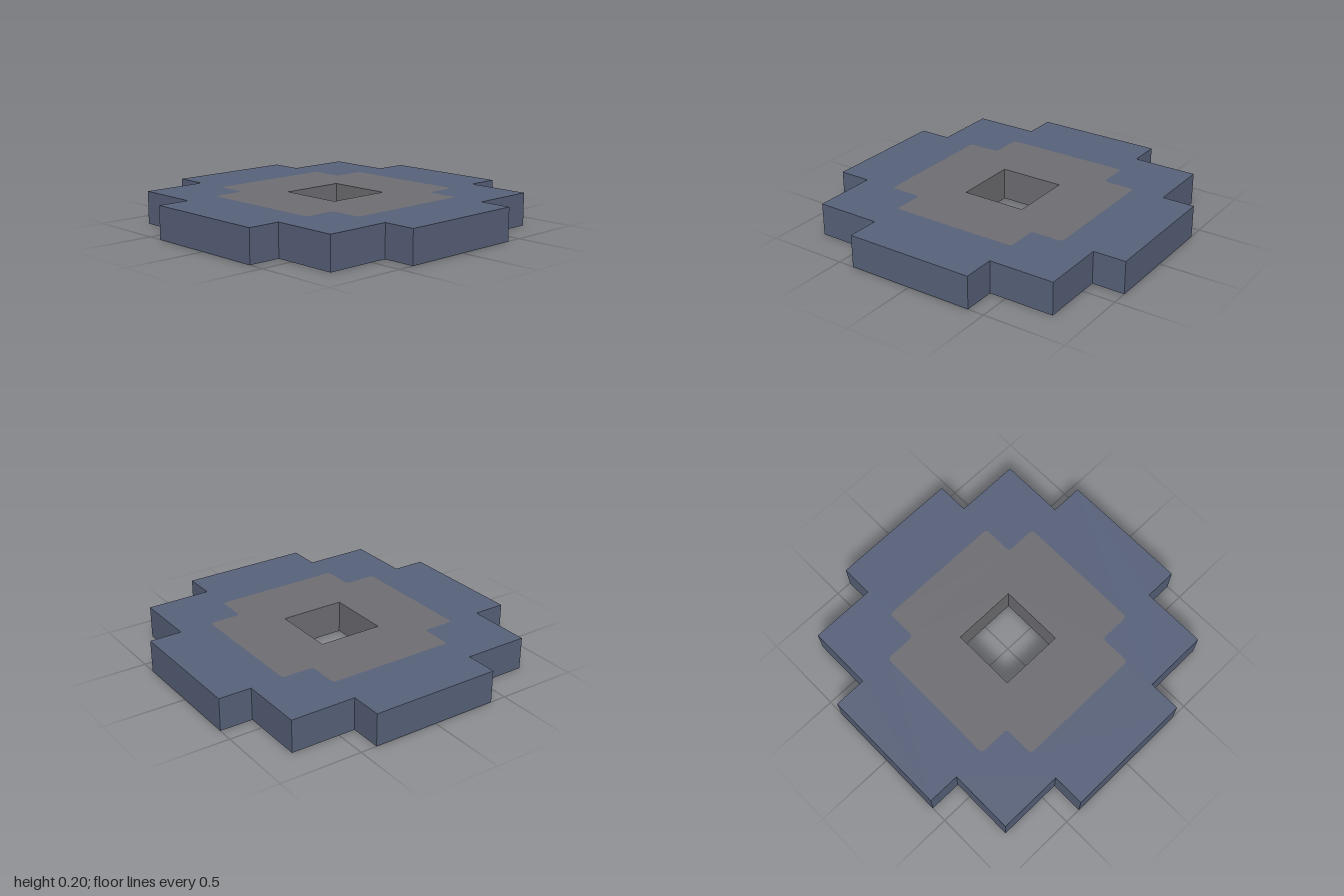
import * as THREE from 'three';

const HEIGHT = 0.2;

// Mirrors one quadrant's corners (running from +x to +y) into a closed outline.
function fourfold(quadrant) {
  const points = [];
  for (let i = 0; i < 4; i++) {
    const c = [1, 0, -1, 0][i], s = [0, 1, 0, -1][i];
    for (const [x, y] of quadrant) points.push(new THREE.Vector2(x * c - y * s, x * s + y * c));
  }
  return points;
}

// Rounds every corner of a closed outline by a small radius.
function rounded(points, radius) {
  const shape = new THREE.Shape();
  points.forEach((p, i) => {
    const prev = points[(i + points.length - 1) % points.length];
    const next = points[(i + 1) % points.length];
    const a = p.clone().add(prev.clone().sub(p).setLength(radius));
    const b = p.clone().add(next.clone().sub(p).setLength(radius));
    if (i === 0) shape.moveTo(a.x, a.y);
    else shape.lineTo(a.x, a.y);
    shape.quadraticCurveTo(p.x, p.y, b.x, b.y);
  });
  shape.closePath();
  return shape.getPoints(4);
}

// Flat slab with a hole, laid on the ground.
function slab(name, outline, hole, material) {
  const shape = new THREE.Shape(outline);
  shape.holes.push(new THREE.Path(hole));
  const geometry = new THREE.ExtrudeGeometry(shape, { depth: HEIGHT, bevelEnabled: false });
  geometry.rotateX(-Math.PI / 2);
  const mesh = new THREE.Mesh(geometry, material);
  mesh.name = name;
  return mesh;
}

export function createModel() {
  const blue = new THREE.MeshStandardMaterial({ name: 'slate blue', color: 0x58627a });
  const grey = new THREE.MeshStandardMaterial({ name: 'warm grey', color: 0x6f6e73 });

  const outer = fourfold([[1, 0.4], [0.8, 0.4], [0.8, 0.8], [0.4, 0.8], [0.4, 1]]);
  const seam = rounded(fourfold([[0.6, 0.4], [0.4, 0.4], [0.4, 0.6]]), 0.025);
  const opening = fourfold([[0.2, 0.2]]);

  const model = new THREE.Group();
  model.name = 'steppedRing';
  model.add(slab('outerRing', outer, seam, blue));   // stepped blue rim
  model.add(slab('innerRing', seam, opening, grey)); // grey core around the square hole
  return model;
}
